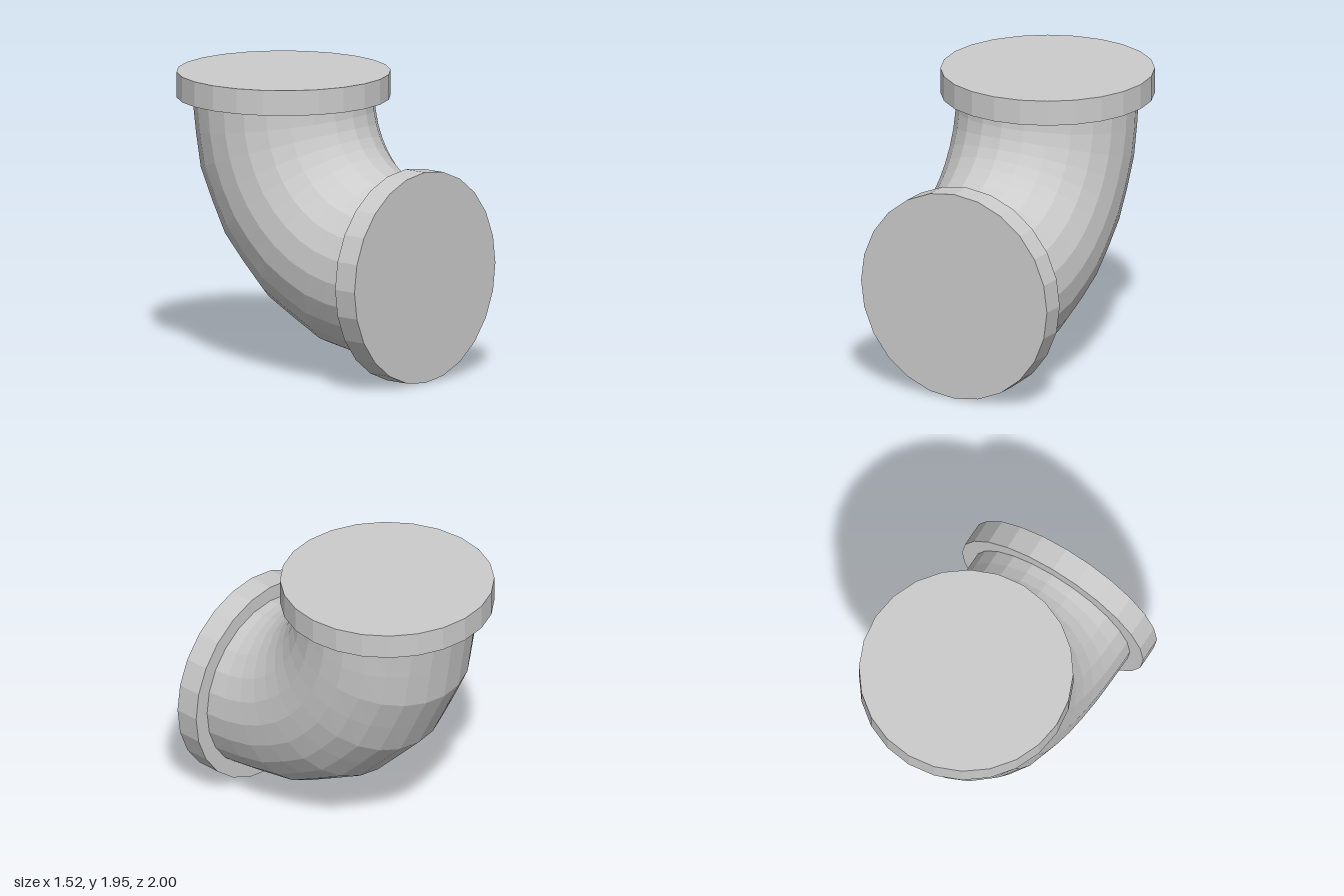
import * as THREE from 'three';

const SIDES = 24;
const BEND = 1.07;      // radius of the pipe's centre line
const PIPE = 0.605;     // pipe radius
const FLANGE_R = 0.71;
const FLANGE_H = 0.17;
const TOP_Y = 1.785;    // underside of the top flange

function mesh(name, geometry, material) {
  const m = new THREE.Mesh(geometry, material);
  m.name = name;
  return m;
}

// Quarter bend running from straight up to straight forward
function bendGeometry() {
  const steps = 10;
  const geo = new THREE.TorusGeometry(BEND, PIPE, SIDES, steps, Math.PI / 2);
  const pos = geo.attributes.position;
  const flat = Math.cos(Math.PI / 4 / (steps / 2));
  // Flatten every second ring on the outside of the bend into broad facets
  for (let i = 0; i < pos.count; i++) {
    const x = pos.getX(i), y = pos.getY(i);
    const outer = THREE.MathUtils.clamp((Math.hypot(x, y) - BEND) / PIPE, 0, 1);
    if (i % (steps + 1) % 2 === 1) {
      const k = THREE.MathUtils.lerp(1, flat, outer);
      pos.setXY(i, x * k, y * k);
    }
  }
  geo.rotateZ(Math.PI);
  geo.rotateY(-Math.PI / 2);
  geo.translate(0, TOP_Y, BEND);
  geo.computeVertexNormals();
  return geo;
}

export function createModel() {
  const material = new THREE.MeshStandardMaterial({ color: 0xcccccc, flatShading: true });
  const group = new THREE.Group();
  group.name = 'pipeElbow';

  // The whole elbow is turned slightly about the vertical axis
  const elbow = new THREE.Group();
  elbow.name = 'elbow';
  elbow.position.set(0.05, 0, -0.295);
  elbow.rotation.y = -0.082;
  group.add(elbow);

  elbow.add(mesh('bentPipe', bendGeometry(), material));

  // Closed flange discs on both ends
  const disc = new THREE.CylinderGeometry(FLANGE_R, FLANGE_R, FLANGE_H, SIDES);
  const top = mesh('topFlange', disc, material);
  top.position.y = TOP_Y + FLANGE_H / 2;
  const front = mesh('frontFlange', disc, material);
  front.rotation.x = Math.PI / 2;
  front.position.set(0, TOP_Y - BEND, BEND + FLANGE_H / 2);
  elbow.add(top, front);

  return group;
}
